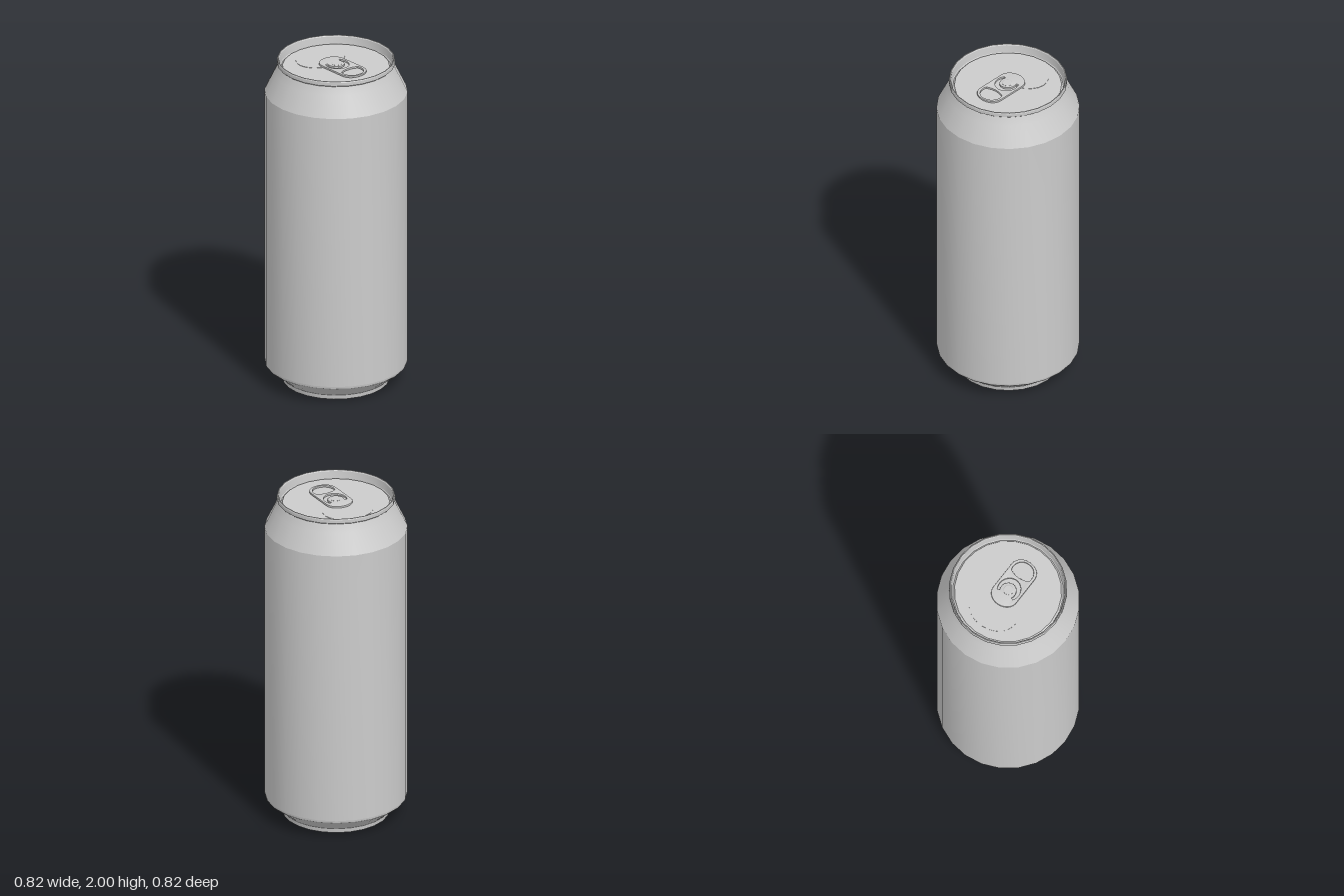
import * as THREE from 'three';
import { toCreasedNormals } from 'three/addons/utils/BufferGeometryUtils.js';

const SIDES = 24;
const LID_Y = 1.955;

const material = new THREE.MeshStandardMaterial({ color: 0xcccccc });

function addMesh(parent, name, geometry) {
  const mesh = new THREE.Mesh(geometry, material);
  mesh.name = name;
  parent.add(mesh);
  return mesh;
}

// Turned part from [radius, height] pairs; soft around, sharp at strong bends
function turned(profile, sides = SIDES) {
  const points = profile.map(([r, y]) => new THREE.Vector2(r, y));
  return toCreasedNormals(new THREE.LatheGeometry(points, sides), 0.37);
}

// Flat plate lying on the lid, its drawn shape extruded upward
function plate(shape, y, height, bevel = 0) {
  const geometry = new THREE.ExtrudeGeometry(shape, {
    depth: height - 2 * bevel,
    curveSegments: 10,
    bevelEnabled: bevel > 0,
    bevelSize: bevel,
    bevelThickness: bevel,
    bevelOffset: -bevel,
    bevelSegments: 2,
  });
  geometry.rotateX(-Math.PI / 2);
  geometry.translate(0, y + bevel, 0);
  return toCreasedNormals(geometry, 0.6);
}

function tabShape() {
  const shape = new THREE.Shape();
  shape.moveTo(-0.03, -0.082);
  shape.lineTo(0.14, -0.082);
  shape.bezierCurveTo(0.185, -0.082, 0.213, -0.05, 0.213, 0);
  shape.bezierCurveTo(0.213, 0.05, 0.185, 0.082, 0.14, 0.082);
  shape.lineTo(-0.03, 0.082);
  shape.bezierCurveTo(-0.07, 0.082, -0.1, 0.045, -0.1, 0);
  shape.bezierCurveTo(-0.1, -0.045, -0.07, -0.082, -0.03, -0.082);

  // Finger hole
  const finger = new THREE.Path();
  finger.moveTo(0.115, -0.06);
  finger.quadraticCurveTo(0.085, 0, 0.115, 0.06);
  finger.bezierCurveTo(0.14, 0.075, 0.2, 0.06, 0.2, 0);
  finger.bezierCurveTo(0.2, -0.06, 0.14, -0.075, 0.115, -0.06);

  // C-shaped slot around the riveted tongue
  const slot = new THREE.Path();
  const end = 2.15;
  slot.absellipse(0.01, 0, 0.07, 0.066, -end, end, false);
  slot.absellipse(0, 0, 0.05, 0.048, end - 0.1, 0.1 - end, true);
  slot.closePath();

  shape.holes.push(finger, slot);
  return shape;
}

export function createModel() {
  const can = new THREE.Group();
  can.name = 'drinkCan';

  // Domed base, foot ring and lower taper
  addMesh(can, 'base', turned([
    [0, 0.13], [0.1, 0.12], [0.19, 0.09], [0.25, 0.05], [0.28, 0.015],
    [0.288, 0.003], [0.298, 0], [0.306, 0.004], [0.31, 0.03], [0.323, 0.044],
    [0.4, 0.104], [0.408, 0.113], [0.41, 0.125],
  ]));

  // Straight wall and neck
  addMesh(can, 'body', turned([
    [0.41, 0.125], [0.41, 1.8], [0.352, 1.921], [0.339, 1.95], [0.332, 1.968],
  ]));

  // Rolled rim and sunken lid
  addMesh(can, 'rimAndLid', turned([
    [0.332, 1.968], [0.339, 1.974], [0.339, 1.994], [0.336, 2], [0.331, 2],
    [0.327, 1.994], [0.322, 1.95], [0.317, 1.944], [0.311, 1.948],
    [0.307, LID_Y], [0, LID_Y],
  ]));

  // Scored opening panel
  const opening = new THREE.Shape();
  opening.absellipse(-0.135, 0, 0.124, 0.153, 0, Math.PI * 2);
  addMesh(can, 'openingPanel', plate(opening, LID_Y - 0.001, 0.003));

  // Pull tab with its rivet
  const pullTab = new THREE.Group();
  pullTab.name = 'pullTab';
  can.add(pullTab);
  addMesh(pullTab, 'tab', plate(tabShape(), LID_Y + 0.003, 0.012, 0.003));
  const rivet = addMesh(pullTab, 'rivet', turned([
    [0.03, LID_Y], [0.03, LID_Y + 0.016], [0.026, LID_Y + 0.018], [0, LID_Y + 0.018],
  ], 20));
  rivet.position.x = 0.005;

  return can;
}
